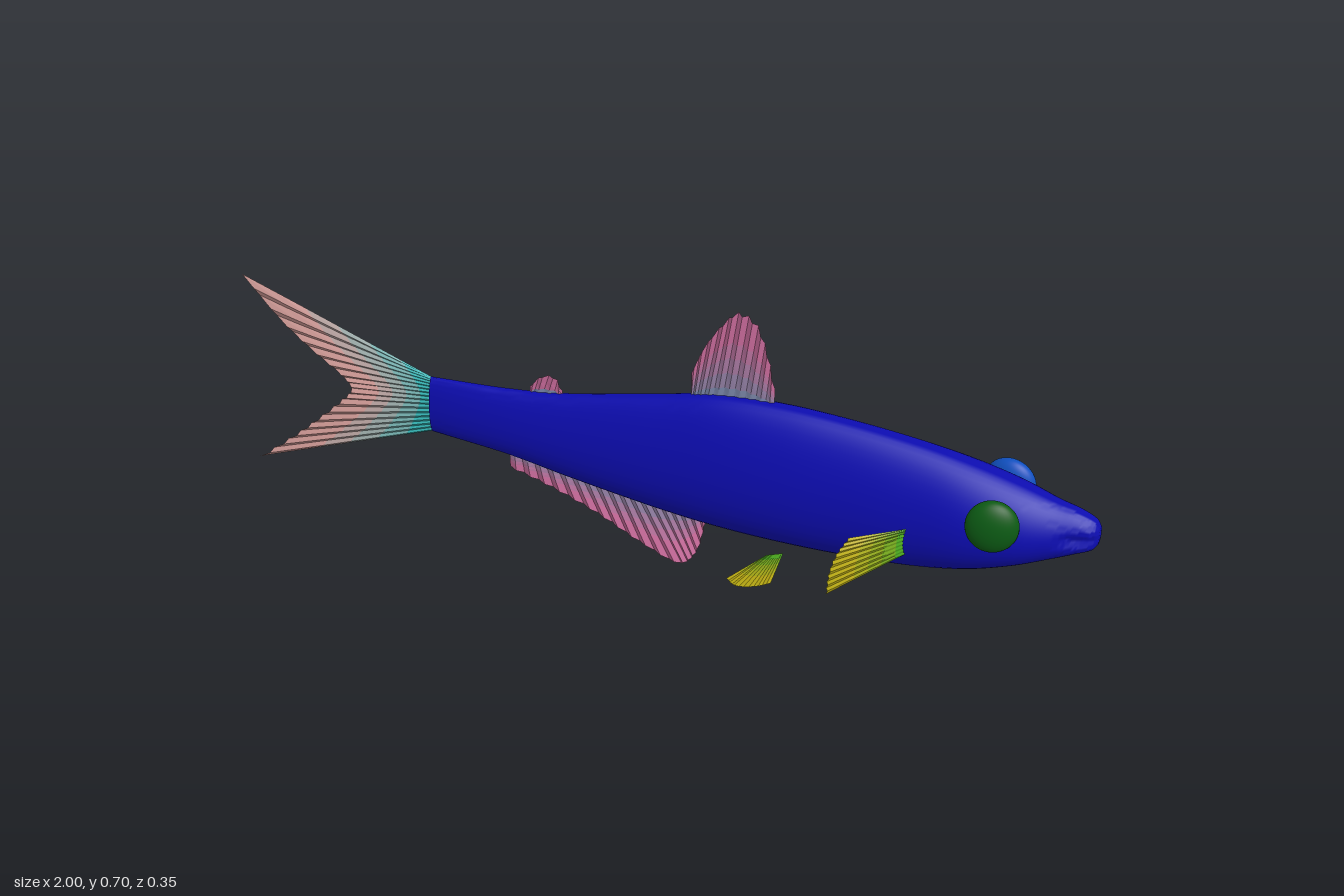
import * as THREE from 'three';
import { toCreasedNormals } from 'three/addons/utils/BufferGeometryUtils.js';

const mat = (color, side = THREE.FrontSide) => new THREE.MeshStandardMaterial({ color, side });

// Body stations: x, top y, bottom y, half width
const STATIONS = [
  [-0.54, 0.382, 0.235, 0.02], [-0.35, 0.39, 0.215, 0.033], [-0.2, 0.408, 0.188, 0.045],
  [0, 0.45, 0.157, 0.063], [0.15, 0.48, 0.141, 0.075], [0.3, 0.485, 0.135, 0.082],
  [0.45, 0.475, 0.137, 0.085], [0.6, 0.456, 0.148, 0.089], [0.72, 0.432, 0.172, 0.093],
  [0.82, 0.404, 0.205, 0.084], [0.9, 0.376, 0.237, 0.061], [0.95, 0.363, 0.258, 0.045],
  [0.985, 0.347, 0.274, 0.033], [0.998, 0.33, 0.291, 0.02],
];

function bodyGeometry(rings = 110, sides = 48) {
  const edge = (k) => new THREE.CatmullRomCurve3(
    STATIONS.map((s) => new THREE.Vector3(s[0], s[k], s[3])), false, 'catmullrom');
  const top = edge(1), bottom = edge(2);
  const pos = [], index = [];
  // Rings -1 and rings + 1 collapse to a point and close the two ends
  for (let i = -1; i <= rings + 1; i++) {
    const t = THREE.MathUtils.clamp(i / rings, 0, 1);
    const a = top.getPoint(t), b = bottom.getPoint(t);
    const k = i < 0 || i > rings ? 0 : 1;
    const x = a.x + (i > rings ? 0.002 : 0);
    const mid = (a.y + b.y) / 2, h = (a.y - b.y) / 2 * k, w = a.z * k;
    for (let j = 0; j < sides; j++) {
      const t2 = j / sides * Math.PI * 2, c = Math.cos(t2);
      const y = mid + h * c;
      // Mouth crease pinches the snout, back is narrower than belly
      const crease = 1 - 0.25 * THREE.MathUtils.smoothstep(x, 0.9, 0.95) * Math.exp(-(((y - 0.308) / 0.012) ** 2));
      pos.push(x, y, w * Math.sin(t2) * (1 - 0.2 * c) * crease);
    }
  }
  for (let i = 0; i < rings + 2; i++) {
    for (let j = 0; j < sides; j++) {
      const n = (j + 1) % sides, a = i * sides + j, b = i * sides + n;
      index.push(a, b, a + sides, b, b + sides, a + sides);
    }
  }
  const geo = new THREE.BufferGeometry();
  geo.setAttribute('position', new THREE.Float32BufferAttribute(pos, 3));
  geo.setIndex(index);
  return toCreasedNormals(geo, 1);
}

// Rippled fin stretched from a root line to a tip curve, in colour bands from root to tip
function fin(name, root, tip, rays, rootColor, tipColor, ripple = 0.004, bands = 6) {
  const group = new THREE.Group();
  group.name = name;
  const v = (p) => new THREE.Vector3(...p);
  const base = new THREE.CatmullRomCurve3(root.map(v));
  const rim = new THREE.CatmullRomCurve3(tip.map(v), false, 'centripetal');
  const cols = rays * 2;
  const point = (i, s) => {
    const odd = i % 2, u = i / cols;
    const p = base.getPoint(u).lerp(rim.getPoint(u), s * (odd ? 0.975 : 1));
    p.z += (odd ? 1 : -1) * ripple * Math.min(1, 0.3 + s);
    return p;
  };
  for (let k = 0; k < bands; k++) {
    const pos = [];
    for (let i = 0; i < cols; i++) {
      const a = point(i, k / bands), b = point(i + 1, k / bands);
      const c = point(i, (k + 1) / bands), d = point(i + 1, (k + 1) / bands);
      for (const p of [a, b, c, b, d, c]) pos.push(p.x, p.y, p.z);
    }
    const geo = new THREE.BufferGeometry();
    geo.setAttribute('position', new THREE.Float32BufferAttribute(pos, 3));
    geo.computeVertexNormals();
    const color = new THREE.Color(rootColor).lerp(new THREE.Color(tipColor), Math.min(1, k / (bands - 2)));
    const mesh = new THREE.Mesh(geo, mat(color, THREE.DoubleSide));
    mesh.name = name + 'Band';
    group.add(mesh);
  }
  return group;
}

export function createModel() {
  const model = new THREE.Group();
  model.name = 'fish';

  const body = new THREE.Mesh(bodyGeometry(), mat(0x0c0cb0));
  body.name = 'body';
  model.add(body);

  const TEAL = 0x35b5b5, PINK = 0xc86a9a;

  // Fins on the middle plane
  model.add(fin('tailFin', [[-0.535, 0.38, 0], [-0.535, 0.237, 0]], [
    [-1, 0.56, 0], [-0.91, 0.455, 0], [-0.83, 0.385, 0], [-0.765, 0.335, 0], [-0.745, 0.305, 0],
    [-0.775, 0.265, 0], [-0.84, 0.2, 0], [-0.91, 0.135, 0], [-1, 0.058, 0],
  ], 18, TEAL, 0xc89490));
  model.add(fin('dorsalFin', [[0.08, 0.455, 0], [0.27, 0.475, 0]], [
    [0.08, 0.52, 0], [0.11, 0.595, 0], [0.15, 0.66, 0], [0.185, 0.697, 0],
    [0.222, 0.682, 0], [0.25, 0.615, 0], [0.27, 0.52, 0],
  ], 10, 0x7a86a8, PINK));
  model.add(fin('adiposeFin', [[-0.3, 0.385, 0], [-0.22, 0.395, 0]], [
    [-0.3, 0.405, 0], [-0.27, 0.44, 0], [-0.238, 0.443, 0], [-0.222, 0.41, 0],
  ], 4, 0x7a86a8, PINK, 0.003, 3));
  model.add(fin('analFin', [[-0.355, 0.225, 0], [-0.1, 0.185, 0], [0.12, 0.155, 0]], [
    [-0.355, 0.177, 0], [-0.25, 0.142, 0], [-0.14, 0.095, 0], [-0.04, 0.04, 0],
    [0.06, 0.002, 0], [0.095, 0.04, 0], [0.118, 0.135, 0],
  ], 18, 0x7a86a8, PINK));

  // Paired fins and eyes
  for (const [side, s, rootColor, tipColor, eyeColor] of [
    ['right', 1, 0x4fb020, 0xc4b414, 0x0c5a14],
    ['left', -1, 0x58c0d0, 0xd0bcc4, 0x1050c0],
  ]) {
    const m = (pts) => pts.map(([x, y, z]) => [x, y, z * s]);
    model.add(fin(side + 'PectoralFin', m([[0.605, 0.29, 0.085], [0.605, 0.222, 0.078]]), m([
      [0.49, 0.29, 0.163], [0.468, 0.25, 0.174], [0.452, 0.19, 0.175], [0.446, 0.13, 0.165],
    ]), 9, rootColor, tipColor, 0.002));
    model.add(fin(side + 'PelvicFin', m([[0.285, 0.136, 0.077], [0.322, 0.147, 0.073]]), m([
      [0.2, 0.066, 0.1], [0.22, 0.055, 0.105], [0.265, 0.061, 0.103], [0.302, 0.076, 0.098],
    ]), 6, rootColor, tipColor, 0.0015));

    const eye = new THREE.Mesh(new THREE.SphereGeometry(1, 32, 24), mat(eyeColor));
    eye.name = side + 'Eye';
    eye.scale.set(0.058, 0.061, 0.03);
    eye.position.set(0.782, 0.34, 0.088 * s);
    eye.rotation.set(-0.1 * s, 0.15 * s, 0);
    model.add(eye);
  }
  return model;
}
